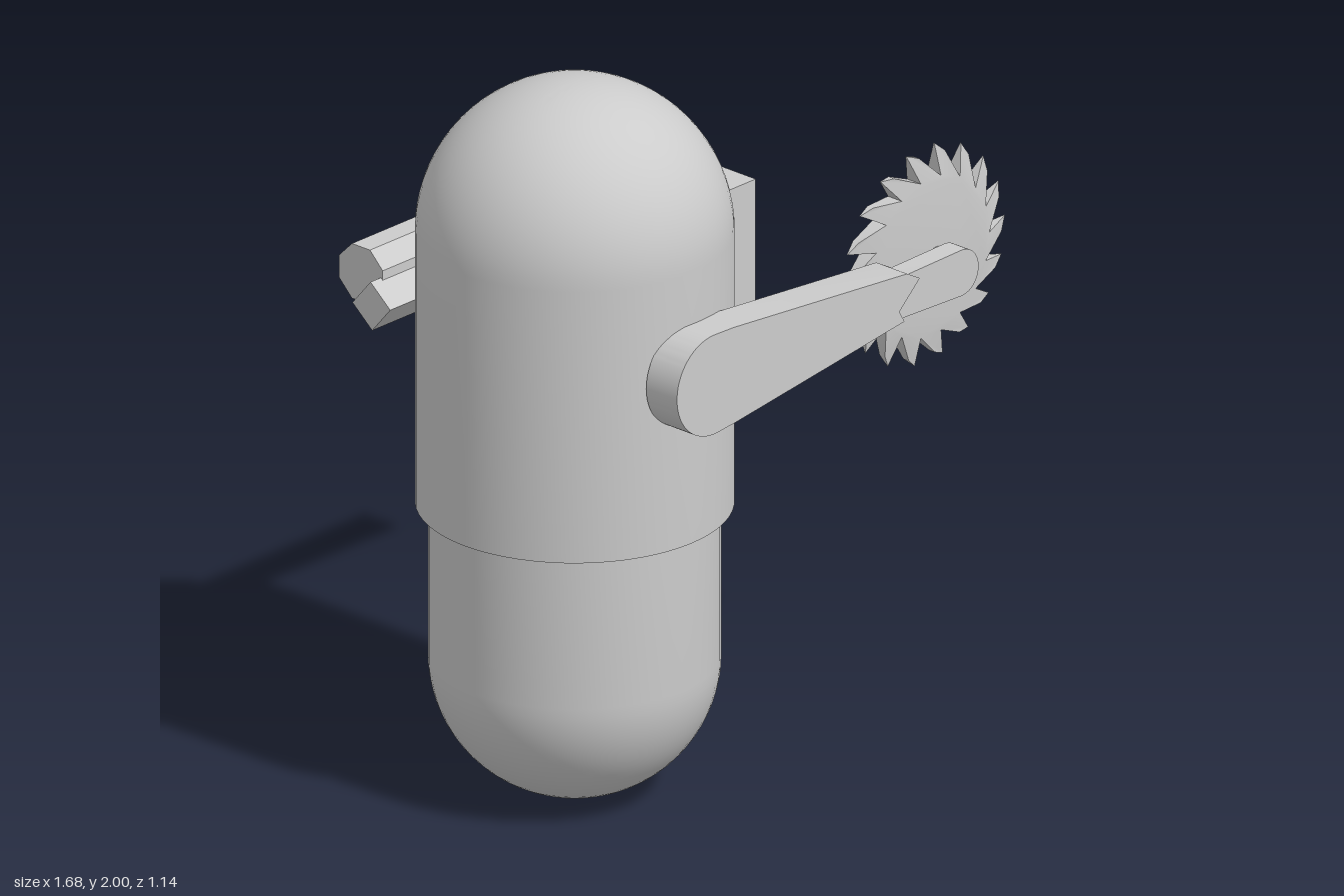
import * as THREE from 'three';
import { toCreasedNormals } from 'three/addons/utils/BufferGeometryUtils.js';

const material = new THREE.MeshStandardMaterial({ color: 0xcccccc });

function part(parent, name, geometry, x = 0, y = 0, z = 0) {
  const mesh = new THREE.Mesh(toCreasedNormals(geometry, 0.6), material);
  mesh.name = name;
  mesh.position.set(x, y, z);
  parent.add(mesh);
  return mesh;
}

// Quarter circle profile from angle a0 to a1 around height cy
function arc(r, cy, a0, a1, n = 20) {
  return Array.from({ length: n + 1 }, (_, i) => {
    const a = a0 + ((a1 - a0) * i) / n;
    return new THREE.Vector2(Math.max(0, r * Math.cos(a)), cy + r * Math.sin(a));
  });
}

const extrude = (shape, depth) =>
  new THREE.ExtrudeGeometry(shape, { depth, bevelEnabled: false, curveSegments: 24 });

// Disc with swept teeth, thinned to an edge at the tips
function sawGeometry(teeth, root, tip, thickness) {
  const points = [];
  const step = (Math.PI * 2) / teeth;
  for (let i = 0; i < teeth; i++) {
    for (const [r, t] of [[root, 0], [tip * 0.93, 0.8], [tip, 1.15]]) {
      const a = (i + t) * step;
      points.push(new THREE.Vector2(r * Math.cos(a), r * Math.sin(a)));
    }
  }
  const geometry = extrude(new THREE.Shape(points), thickness);
  geometry.translate(0, 0, -thickness / 2);
  const p = geometry.attributes.position;
  for (let i = 0; i < p.count; i++) {
    const r = Math.hypot(p.getX(i), p.getY(i));
    p.setZ(i, p.getZ(i) * THREE.MathUtils.clamp((tip + 0.003 - r) / 0.06, 0.05, 1));
  }
  return geometry;
}

export function createModel() {
  const model = new THREE.Group();
  model.name = 'capsuleRobot';

  // Body: rounded lower capsule inside a wider domed shell
  const bx = -0.425, bz = 0.06;
  const lower = [...arc(0.383, 0.386, -Math.PI / 2, 0), new THREE.Vector2(0.383, 0.84)];
  part(model, 'lowerBody', new THREE.LatheGeometry(lower, 64), bx, 0, bz);
  const shell = [
    new THREE.Vector2(0.375, 0.815),
    new THREE.Vector2(0.417, 0.815),
    ...arc(0.417, 1.583, 0, Math.PI / 2),
  ];
  part(model, 'upperShell', new THREE.LatheGeometry(shell, 64), bx, 0, bz);

  // Box on the side of the shell
  part(model, 'sideBox', new THREE.BoxGeometry(0.15, 0.37, 0.44), -0.045, 1.463, 0.06);

  // Saw arm: tapered plate with a round shoulder and a notched end
  const sawArm = new THREE.Group();
  sawArm.name = 'sawArm';
  model.add(sawArm);
  const plate = new THREE.Shape();
  plate.moveTo(-0.43, 1.155);
  plate.lineTo(-0.36, 1.162);
  plate.lineTo(0.29, 1.247);
  plate.lineTo(0.27, 1.28);
  plate.lineTo(0.348, 1.352);
  plate.lineTo(0.3, 1.379);
  plate.lineTo(-0.36, 1.434);
  plate.lineTo(-0.43, 1.436);
  plate.absarc(-0.437, 1.2955, 0.1405, Math.PI / 2, Math.PI * 1.5, false);
  part(sawArm, 'armPlate', extrude(plate, 0.11), 0, 0, 0.458);

  // Narrow link with a round tip
  const link = new THREE.Shape();
  link.moveTo(0.25, 1.265);
  link.lineTo(0.3, 1.243);
  link.lineTo(0.535, 1.235);
  link.absarc(0.535, 1.3, 0.065, -Math.PI / 2, Math.PI / 2, false);
  link.lineTo(0.3, 1.36);
  link.lineTo(0.25, 1.345);
  part(sawArm, 'armLink', extrude(link, 0.062), 0, 0, 0.48);

  // Saw blade on its axle
  part(sawArm, 'sawBlade', sawGeometry(18, 0.222, 0.307, 0.05), 0.533, 1.315, 0.41);
  const axle = part(sawArm, 'axle', new THREE.CylinderGeometry(0.036, 0.036, 0.13, 24), 0.553, 1.302, 0.425);
  const cap = part(sawArm, 'axleCap', new THREE.CylinderGeometry(0.048, 0.048, 0.012, 24), 0.553, 1.302, 0.361);
  axle.rotation.x = cap.rotation.x = Math.PI / 2;

  // Square barrel at the back, turned about its length, with a hollow muzzle
  const gun = new THREE.Group();
  gun.name = 'gun';
  gun.position.set(0, 1.308, -0.418);
  gun.rotation.x = 0.7;
  model.add(gun);
  const h = 0.1, d = 0.092, wall = 0.014;
  part(gun, 'barrel', new THREE.BoxGeometry(1.12, h, d), -0.13, 0, 0);
  const rectangle = (Type, w, t) => new Type([
    new THREE.Vector2(-w, -t), new THREE.Vector2(w, -t),
    new THREE.Vector2(w, t), new THREE.Vector2(-w, t),
  ]);
  const rim = rectangle(THREE.Shape, d / 2, h / 2);
  rim.holes.push(rectangle(THREE.Path, d / 2 - wall, h / 2 - wall));
  part(gun, 'muzzle', extrude(rim, 0.1), 0.43, 0, 0).rotation.y = Math.PI / 2;

  // Eight-sided canister lying along the barrel
  const canister = new THREE.CylinderGeometry(0.084, 0.084, 0.275, 8);
  canister.rotateY(Math.PI / 8);
  canister.rotateZ(Math.PI / 2);
  part(model, 'canister', canister, -0.513, 1.365, -0.492);

  return model;
}
